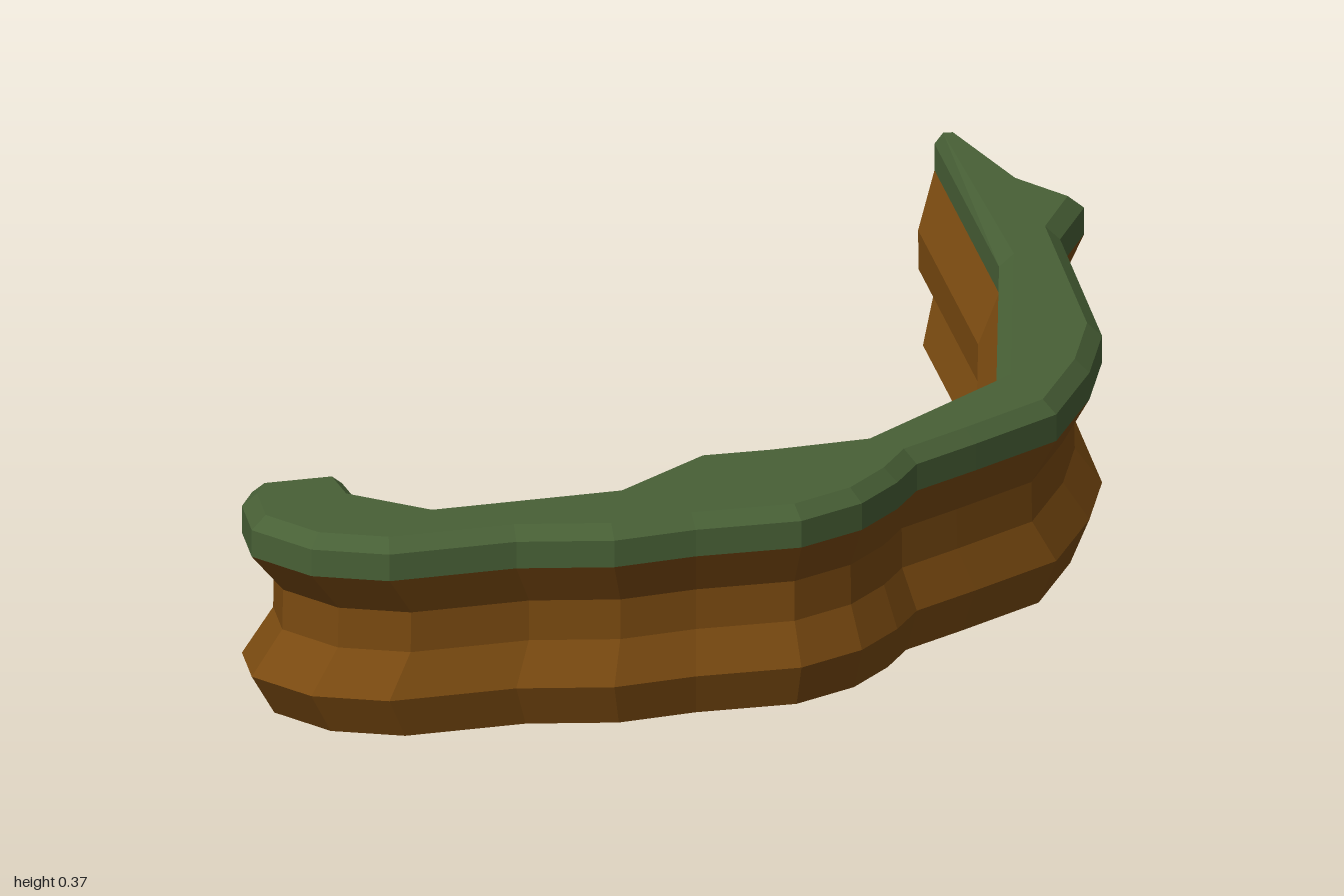
import * as THREE from 'three';

// Plan outline of the ledge as x, z pairs: outer side from the tip to the hook, then back along the inner side
const OUTLINE = [
  [0.66, -1], [0.7, -1], [0.78, -0.74], [0.86, -0.62], [0.79, -0.46], [0.775, 0.06], [0.72, 0.25],
  [0.625, 0.46], [0.46, 0.59], [0.34, 0.68], [0.29, 0.77], [0.21, 0.87], [0.09, 0.945], [-0.1, 0.96],
  [-0.25, 0.993], [-0.42, 0.97], [-0.65, 1], [-0.78, 0.95], [-0.865, 0.83], [-0.86, 0.7], [-0.83, 0.63],
  [-0.667, 0.61], [-0.656, 0.72], [-0.54, 0.817], [-0.215, 0.774], [-0.043, 0.613], [0.086, 0.603],
  [0.258, 0.575], [0.548, 0.29], [0.66, -0.334],
];

// Outline scaled towards the middle of the bend, at a height
function scaledRing(y, s, cz = 0.43) {
  return OUTLINE.map(([x, z]) => [x * s, y, cz + (z - cz) * s]);
}

// Outline moved inwards by an even distance, less at the narrow tip
function insetRing(y, distance) {
  const n = OUTLINE.length;
  const normal = (a, b) => new THREE.Vector2(b[1] - a[1], a[0] - b[0]).normalize();
  return OUTLINE.map((p, i) => {
    const n1 = normal(OUTLINE[(i + n - 1) % n], p);
    const n2 = normal(p, OUTLINE[(i + 1) % n]);
    const d = i < 2 ? 0.013 : distance;
    const m = n1.clone().add(n2).multiplyScalar(d / (1 + n1.dot(n2)));
    return [p[0] - m.x, y, p[1] - m.y];
  });
}

// Faceted wall through a stack of rings, lowest first
function wall(rings) {
  const pos = [];
  for (let r = 0; r < rings.length - 1; r++) {
    const low = rings[r], high = rings[r + 1];
    low.forEach((a, i) => {
      const j = (i + 1) % low.length;
      pos.push(...a, ...high[i], ...high[j], ...a, ...high[j], ...low[j]);
    });
  }
  const geo = new THREE.BufferGeometry();
  geo.setAttribute('position', new THREE.Float32BufferAttribute(pos, 3));
  geo.computeVertexNormals();
  return geo;
}

export function createModel() {
  const group = new THREE.Group();
  group.name = 'cliffLedge';
  const earth = new THREE.MeshStandardMaterial({ name: 'earthBrown', color: 0x7a4a10, side: THREE.DoubleSide, flatShading: true });
  const grass = new THREE.MeshStandardMaterial({ name: 'grassGreen', color: 0x486036, side: THREE.DoubleSide, flatShading: true });

  const add = (name, geo, material) => {
    const mesh = new THREE.Mesh(geo, material);
    mesh.name = name;
    group.add(mesh);
    return mesh;
  };

  // Earth wall, open underneath, with a narrow waist
  add('earthWall', wall([
    scaledRing(0, 0.95, 0.46),
    scaledRing(0.075, 1),
    scaledRing(0.15, 0.932),
    scaledRing(0.223, 0.93),
    scaledRing(0.297, 1),
  ]), earth);

  // Grass lip with a bevelled upper edge
  const capRing = insetRing(0.37, 0.026);
  add('grassLip', wall([scaledRing(0.297, 1), scaledRing(0.346, 1), capRing]), grass);

  // Flat grass top
  const shape = new THREE.Shape(capRing.map(([x, , z]) => new THREE.Vector2(x, -z)));
  const top = new THREE.ShapeGeometry(shape).rotateX(-Math.PI / 2).translate(0, 0.37, 0);
  add('grassTop', top, grass);

  return group;
}
